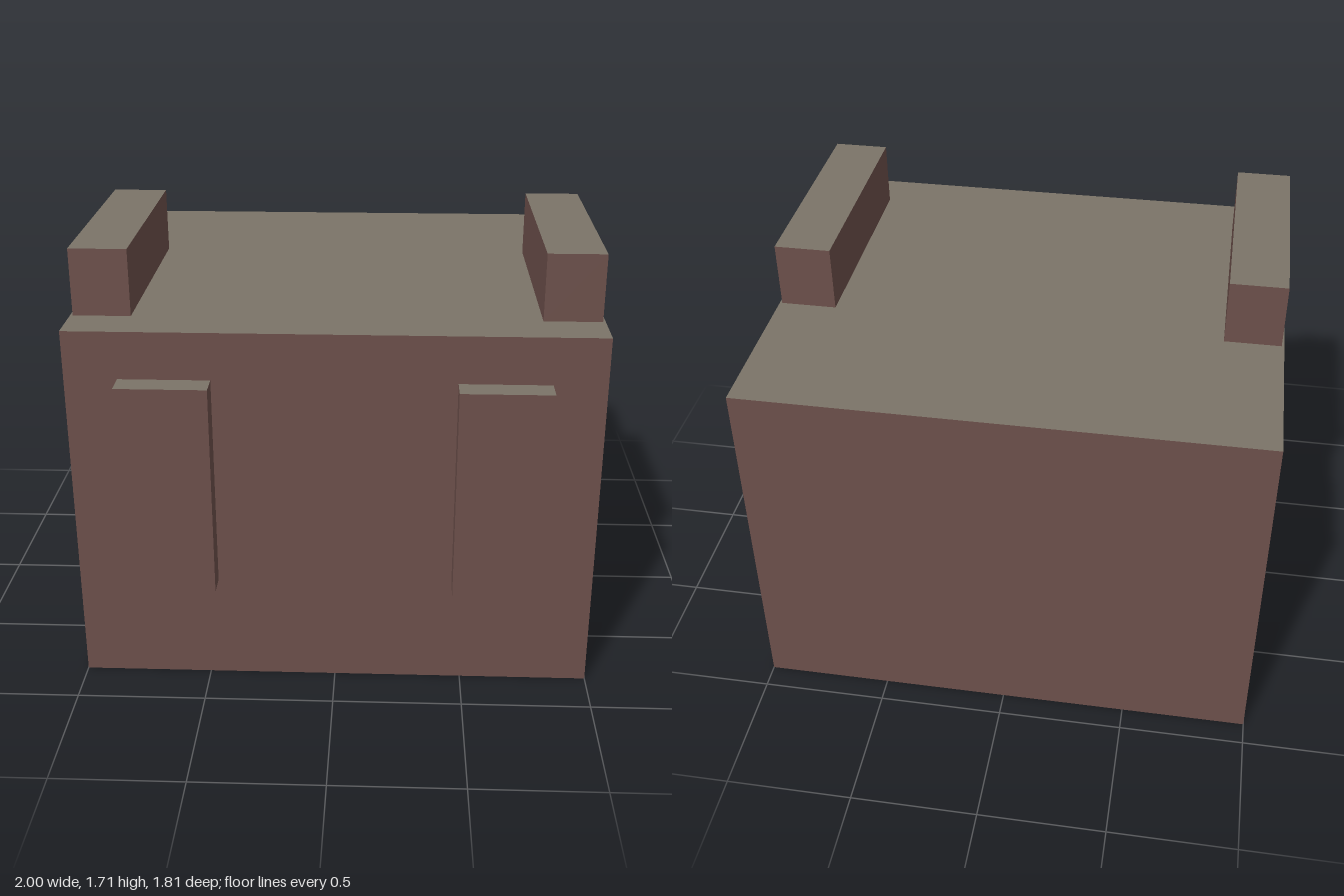
import * as THREE from 'three';

const wall = new THREE.MeshStandardMaterial({ color: 0x6d504b, side: THREE.DoubleSide });
wall.name = 'brown wall';
const cap = new THREE.MeshStandardMaterial({ color: 0x7b7468, side: THREE.DoubleSide });
cap.name = 'grey olive top';

// Box between two corners, with brown sides and an olive top; optionally open below
function block(name, min, max, open = false) {
  const size = max.map((v, i) => v - min[i]);
  const geo = new THREE.BoxGeometry(...size);
  if (open) {
    const idx = Array.from(geo.index.array);
    idx.splice(18, 6); // drop the underside
    geo.setIndex(idx);
  }
  geo.clearGroups();
  geo.addGroup(0, 12, 0);
  geo.addGroup(12, 6, 1);
  geo.addGroup(18, open ? 12 : 18, 0);
  const mesh = new THREE.Mesh(geo, [wall, cap]);
  mesh.position.set(...max.map((v, i) => (v + min[i]) / 2));
  mesh.name = name;
  return mesh;
}

export function createModel() {
  const model = new THREE.Group();
  model.name = 'block';

  // Hollow shell, open at the bottom
  const [front, back, height] = [0.81, -0.905, 1.45];
  model.add(block('shell', [-1, 0, back], [1, height, front], true));

  // Thin wall dividing the hollow in two
  const divider = new THREE.Mesh(new THREE.PlaneGeometry(front - back, height), wall);
  divider.rotation.y = Math.PI / 2;
  divider.position.set(0, height / 2, (front + back) / 2);
  divider.name = 'divider';
  model.add(divider);

  // Mirrored top rails and front panels
  for (const [side, s] of [['left', 1], ['right', -1]]) {
    const span = (a, b) => (s > 0 ? [a, b] : [-b, -a]);
    const [r0, r1] = span(0.77, 0.99);
    model.add(block(side + 'TopRail', [r0, height, -0.265], [r1, 1.71, 0.635]));
    const [p0, p1] = span(0.455, 0.8);
    model.add(block(side + 'FrontPanel', [p0, 0.425, front], [p1, 1.265, 0.905]));
  }
  return model;
}
